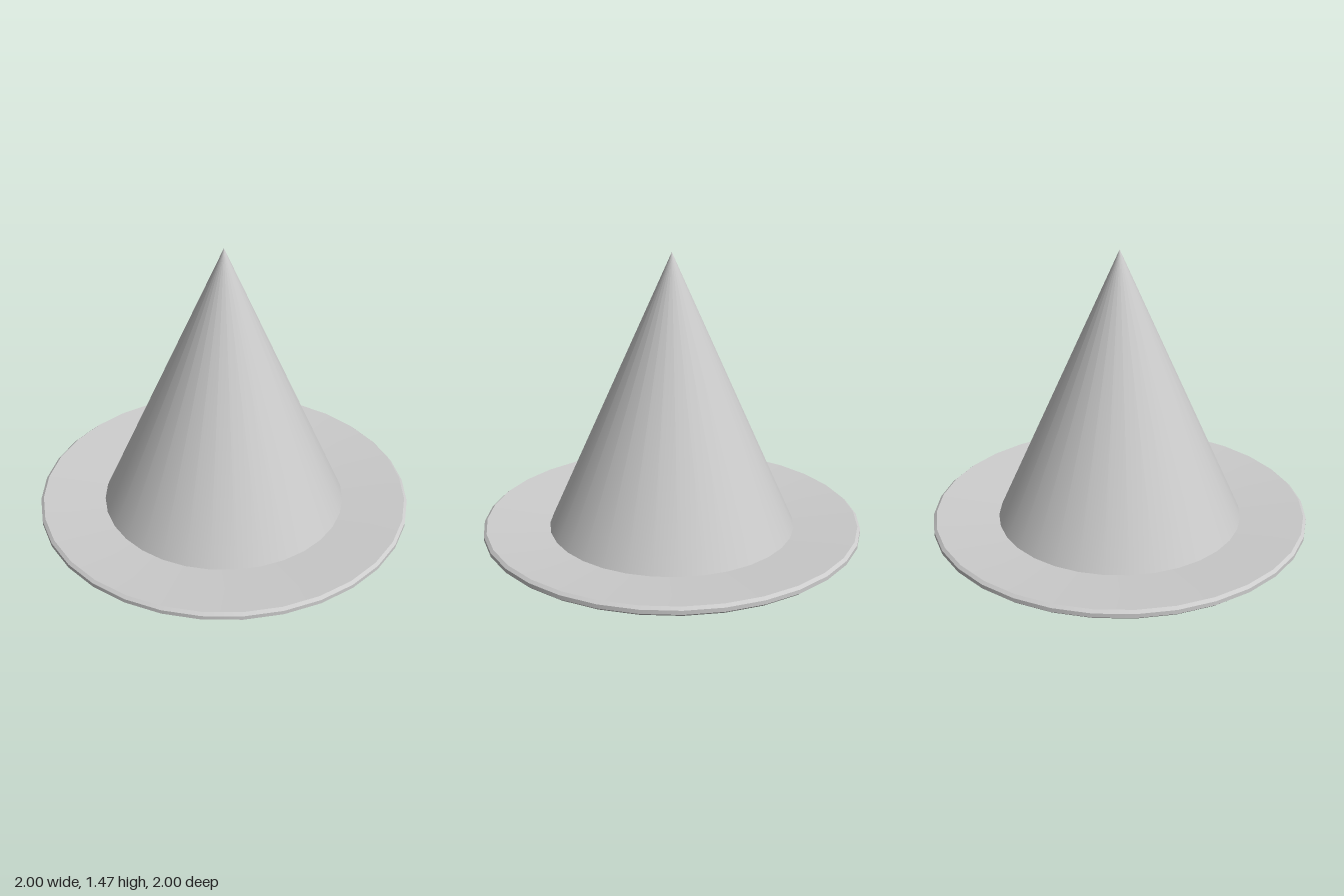
import * as THREE from 'three';

const SIDES = 32;

export function createModel() {
  const model = new THREE.Group();
  const material = new THREE.MeshStandardMaterial({ color: 0xcccccc });

  // Turns one profile band around y; separate bands keep the edges between them sharp
  const addBand = (name, parent, ...profile) => {
    const points = profile.map(([r, y]) => new THREE.Vector2(r, y));
    const mesh = new THREE.Mesh(new THREE.LatheGeometry(points, SIDES), material);
    mesh.name = name;
    parent.add(mesh);
  };

  // Brim: flat underside, bevelled edge, top sloping slightly down to the crown
  const brim = new THREE.Group();
  brim.name = 'brim';
  addBand('brimUnderside', brim, [0, 0], [0.985, 0]);
  addBand('brimLowerBevel', brim, [0.985, 0], [1, 0.013]);
  addBand('brimEdge', brim, [1, 0.013], [1, 0.034]);
  addBand('brimUpperBevel', brim, [1, 0.034], [0.985, 0.047]);
  addBand('brimTop', brim, [0.985, 0.047], [0.652, 0.018]);
  model.add(brim);

  // Crown: smooth pointed cone
  addBand('crown', model, [0.652, 0.018], [0, 1.47]);

  return model;
}
